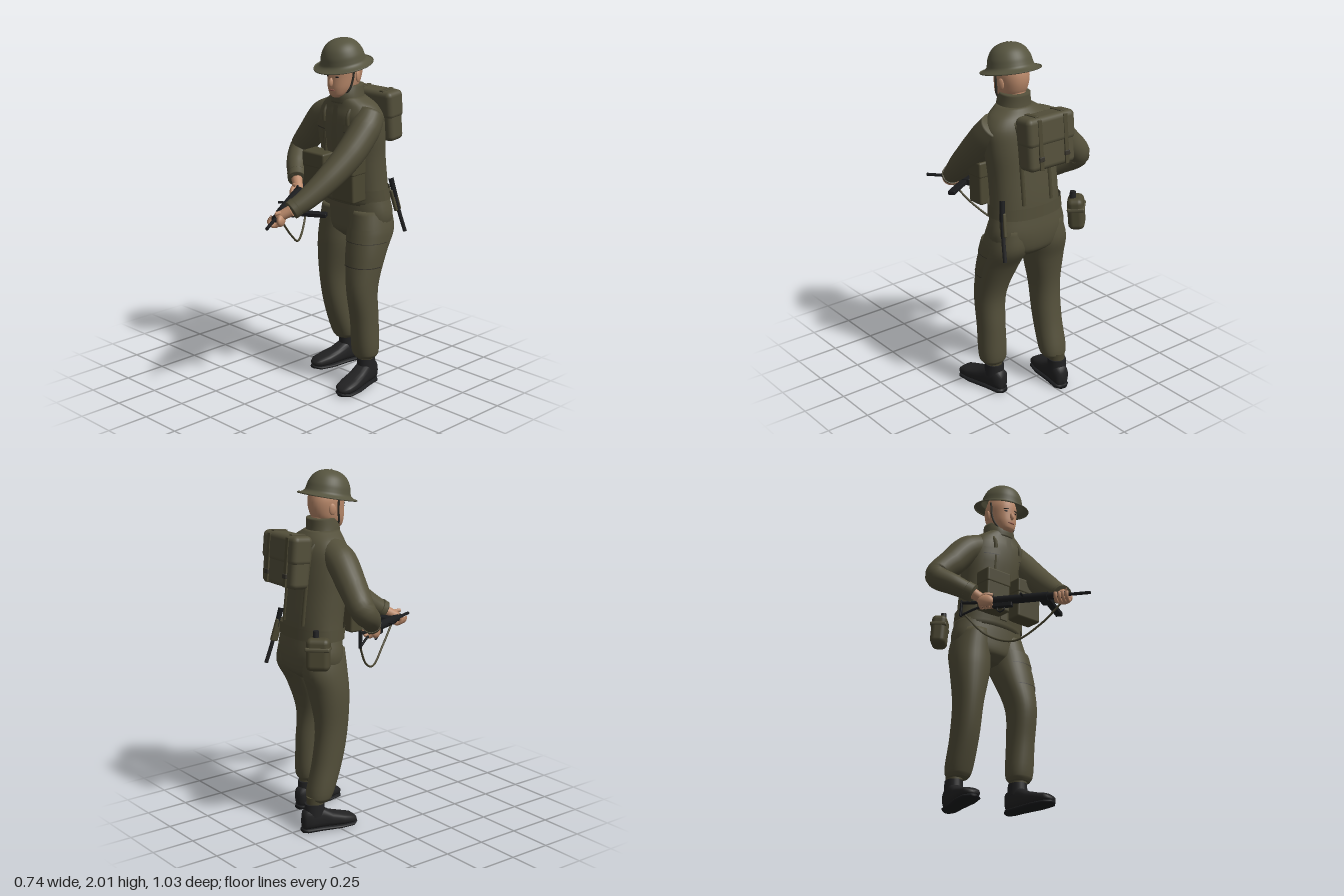
import * as THREE from 'three';
import { RoundedBoxGeometry } from 'three/addons/geometries/RoundedBoxGeometry.js';

const V = (x, y, z) => new THREE.Vector3(x, y, z);
const paint = (name, color, side = THREE.FrontSide) => {
  const m = new THREE.MeshStandardMaterial({ color, side });
  m.name = name;
  return m;
};

// Surface through a list of vertex rings; closed rings get end caps
function skin(rings, closed = true) {
  const n = rings[0].length, pos = [], idx = [];
  rings.forEach(r => r.forEach(v => pos.push(v.x, v.y, v.z)));
  const last = rings.length - 1;
  for (let i = 0; i < last; i++)
    for (let j = 0; j < (closed ? n : n - 1); j++) {
      const a = i * n + j, b = i * n + (j + 1) % n;
      idx.push(a, a + n, b, b, a + n, b + n);
    }
  if (closed) for (const i of [0, last]) {
    const c = rings[i].reduce((s, v) => s.add(v), V(0, 0, 0)).divideScalar(n);
    const k = pos.length / 3;
    pos.push(c.x, c.y, c.z);
    for (let j = 0; j < n; j++) {
      const a = i * n + j, b = i * n + (j + 1) % n;
      i ? idx.push(a, k, b) : idx.push(a, b, k);
    }
  }
  const g = new THREE.BufferGeometry();
  g.setAttribute('position', new THREE.Float32BufferAttribute(pos, 3));
  g.setIndex(idx);
  g.computeVertexNormals();
  return g;
}

// Horizontal ring of a section [y, cx, cz, rx, rz]
const pw = (c, e) => Math.sign(c) * Math.abs(c) ** e;
const ring = ([y, cx, cz, rx, rz], n = 32, a0 = 0, a1 = Math.PI * 2, open = 0) =>
  Array.from({ length: n + open }, (_, j) => {
    const a = a0 + (a1 - a0) * j / n;
    return V(cx + rx * pw(Math.cos(a), 0.9), y, cz + rz * pw(Math.sin(a), 0.9));
  });

// Smooth upright body from sections listed bottom to top
function loft(sec, steps = 5) {
  const mid = new THREE.CatmullRomCurve3(sec.map(s => V(s[1], s[0], s[2])));
  const rad = new THREE.CatmullRomCurve3(sec.map(s => V(s[3], s[0], s[4])));
  const rows = [], m = (sec.length - 1) * steps;
  for (let i = 0; i <= m; i++) {
    const c = mid.getPoint(i / m), r = rad.getPoint(i / m);
    rows.push(ring([c.y, c.x, c.z, r.x, r.z]));
  }
  return skin(rows);
}

// Section of a body at height y
function at(sec, y) {
  let i = 0;
  while (i < sec.length - 2 && sec[i + 1][0] < y) i++;
  const t = (y - sec[i][0]) / (sec[i + 1][0] - sec[i][0]);
  return sec[i].map((v, k) => v + (sec[i + 1][k] - v) * t);
}

// Cloth patch lying on a body between two heights and two angles
function patch(sec, y0, y1, a0, a1, d) {
  const rows = [];
  for (let i = 0; i <= 5; i++) {
    const [y, cx, cz, rx, rz] = at(sec, y0 + (y1 - y0) * i / 5);
    rows.push(ring([y, cx, cz, rx + d, rz + d], 32, a0, a1, 1));
  }
  return skin(rows, false);
}

// Sleeve along points [x, y, z, radius]
function sleeve(pts, steps = 7) {
  const mid = new THREE.CatmullRomCurve3(pts.map(p => V(p[0], p[1], p[2])));
  const rows = [], m = (pts.length - 1) * steps;
  for (let i = 0; i <= m; i++) {
    const t = i / m, k = Math.min(Math.floor(t * (pts.length - 1)), pts.length - 2);
    const r = THREE.MathUtils.lerp(pts[k][3], pts[k + 1][3], t * (pts.length - 1) - k);
    const c = mid.getPoint(t), T = mid.getTangent(t);
    const N = T.clone().cross(V(0, 1, 0)).normalize(), B = T.clone().cross(N);
    rows.push(Array.from({ length: 24 }, (_, j) => {
      const a = j / 24 * Math.PI * 2;
      return c.clone().addScaledVector(N, r * Math.cos(a)).addScaledVector(B, -r * Math.sin(a));
    }));
  }
  return skin(rows);
}

// Foot part along z from rows [z, half width, bottom, top]
const footPart = rows => skin(rows.map(([z, w, b, t]) => Array.from({ length: 24 }, (_, j) => {
  const a = j / 24 * Math.PI * 2;
  return V(w * pw(Math.cos(a), 0.75), (b + t) / 2 - (t - b) / 2 * pw(Math.sin(a), 0.75), z);
})));

const tube = (pts, r) =>
  new THREE.TubeGeometry(new THREE.CatmullRomCurve3(pts.map(p => V(...p))), 40, r, 8);

export function createModel() {
  const model = new THREE.Group();
  const cloth = paint('uniform cloth', 0x534f3a), cloth2 = paint('cloth patches', 0x514d38, THREE.DoubleSide);
  const steel = paint('helmet green', 0x56543f, THREE.DoubleSide), web = paint('webbing', 0x4b4732);
  const seam = paint('dark seams', 0x35322a, THREE.DoubleSide), flesh = paint('skin', 0xbb8a6b);
  const black = paint('black leather', 0x222223), gunmetal = paint('gunmetal', 0x1b1c1e);
  const lip = paint('lips', 0x9a6152);
  const add = (name, geo, mat, p = [0, 0, 0], r = [0, 0, 0], s = [1, 1, 1], parent = model) => {
    const m = new THREE.Mesh(geo, mat);
    m.name = name;
    m.position.set(...p); m.rotation.set(...r); m.scale.set(...s);
    parent.add(m);
    return m;
  };
  const box = (w, h, d, r = 0.012) => new RoundedBoxGeometry(w, h, d, 3, r);
  const ball = new THREE.SphereGeometry(1, 24, 16);
  const full = Math.PI * 2;

  // Jacket
  const torso = [[1.07, 0.11, -0.275, 0.213, 0.13], [1.2, 0.11, -0.262, 0.205, 0.135],
    [1.35, 0.11, -0.242, 0.205, 0.137], [1.48, 0.115, -0.225, 0.212, 0.137],
    [1.58, 0.12, -0.215, 0.205, 0.128], [1.64, 0.12, -0.208, 0.165, 0.11], [1.685, 0.118, -0.19, 0.095, 0.09]];
  add('jacket', loft(torso), cloth);
  add('collar', loft([[1.65, 0.118, -0.188, 0.098, 0.092], [1.7, 0.118, -0.184, 0.088, 0.09],
    [1.75, 0.118, -0.195, 0.08, 0.078]]), cloth);
  add('jacketFront', patch(torso, 1.18, 1.64, 1.5, 1.64, 0.007), cloth2);
  for (const [a, b] of [[0.8, 1.28], [1.86, 2.34]]) {
    add('chestPocket', patch(torso, 1.4, 1.53, a, b, 0.008), cloth2);
    add('pocketFlap', patch(torso, 1.5, 1.54, a - 0.03, b + 0.03, 0.012), cloth2);
    add('pocketSeam', patch(torso, 1.495, 1.5, a, b, 0.012), seam);
  }

  // Trousers
  const pelvis = [[0.86, 0.11, -0.275, 0.1, 0.07], [0.91, 0.11, -0.28, 0.2, 0.125],
    [1.0, 0.11, -0.283, 0.235, 0.135], [1.12, 0.11, -0.275, 0.213, 0.128]];
  add('trouserSeat', loft(pelvis), cloth);
  const leftLeg = [[0.175, 0.272, -0.19, 0.058, 0.055], [0.2, 0.272, -0.19, 0.075, 0.07], [0.4, 0.273, -0.178, 0.077, 0.082],
    [0.6, 0.267, -0.162, 0.084, 0.093], [0.8, 0.247, -0.215, 0.111, 0.115],
    [0.92, 0.238, -0.263, 0.113, 0.137], [1.04, 0.225, -0.275, 0.1, 0.12]];
  const rightLeg = [[0.175, -0.042, -0.345, 0.056, 0.055], [0.2, -0.042, -0.343, 0.073, 0.07], [0.4, -0.044, -0.285, 0.078, 0.086],
    [0.6, -0.044, -0.255, 0.083, 0.094], [0.8, -0.028, -0.262, 0.111, 0.114],
    [0.92, -0.018, -0.28, 0.113, 0.128], [1.04, -0.005, -0.275, 0.1, 0.12]];
  add('leftTrouserLeg', loft(leftLeg), cloth);
  add('rightTrouserLeg', loft(rightLeg), cloth);
  add('thighPocket', patch(leftLeg, 0.73, 0.94, -0.1, 2.1, 0.007), cloth2);
  add('thighPocketFlap', patch(leftLeg, 0.87, 0.945, -0.12, 2.12, 0.011), cloth2);
  for (const y of [0.73, 0.866]) add('thighPocketSeam', patch(leftLeg, y, y + 0.005, -0.1, 2.1, 0.01), seam);

  // Boots and gaiters
  for (const [name, x, z, turn] of [['leftBoot', 0.258, -0.275, 0.16], ['rightBoot', -0.03, -0.45, -0.2]]) {
    const boot = new THREE.Group();
    boot.name = name;
    boot.position.set(x, 0, z);
    boot.rotation.y = turn;
    model.add(boot);
    add('bootUpper', footPart([[0, 0.02, 0.02, 0.1], [0.012, 0.04, 0.015, 0.13], [0.05, 0.048, 0.015, 0.145],
      [0.11, 0.05, 0.015, 0.14], [0.17, 0.054, 0.015, 0.105], [0.24, 0.06, 0.015, 0.082],
      [0.3, 0.052, 0.015, 0.066], [0.322, 0.034, 0.02, 0.05], [0.33, 0.01, 0.025, 0.04]]), black, [0, 0, 0], [0, 0, 0], [1, 1, 1], boot);
    add('bootSole', footPart([[-0.003, 0.025, 0, 0.025], [0.02, 0.046, 0, 0.028], [0.1, 0.05, 0, 0.028],
      [0.22, 0.063, 0, 0.024], [0.3, 0.055, 0, 0.024], [0.333, 0.02, 0.006, 0.024]]), gunmetal, [0, 0, 0], [0, 0, 0], [1, 1, 1], boot);
    add('bootCuff', new THREE.CylinderGeometry(0.05, 0.052, 0.07, 24), black, [0, 0.13, 0.075], [0, 0, 0], [1, 1, 1.15], boot);
    add('gaiter', new THREE.CylinderGeometry(0.047, 0.045, 0.08, 24), web, [0, 0.165, 0.08], [0, 0, 0], [1, 1, 1.1], boot);
  }

  // Arms
  const arms = {
    right: [[0.02, 1.585, -0.21, 0.08], [-0.09, 1.535, -0.215, 0.088], [-0.2, 1.42, -0.225, 0.081],
      [-0.297, 1.305, -0.228, 0.07], [-0.245, 1.235, -0.14, 0.06], [-0.16, 1.172, -0.06, 0.047]],
    left: [[0.265, 1.595, -0.215, 0.08], [0.28, 1.52, -0.155, 0.087], [0.28, 1.4, -0.04, 0.083],
      [0.255, 1.28, 0.1, 0.072], [0.215, 1.18, 0.23, 0.058], [0.185, 1.13, 0.31, 0.047]]
  };
  const grips = { right: [-0.095, 1.12, -0.015], left: [0.135, 1.09, 0.37] };
  for (const side of ['right', 'left']) {
    const p = arms[side], e = p[5], d = p[4];
    add(side + 'Sleeve', sleeve(p), cloth);
    const c = [0, 1, 2].map(k => e[k] + (d[k] - e[k]) * 0.35);
    add(side + 'Cuff', sleeve([[...c, 0.056], [...e.slice(0, 3), 0.052]]), cloth);
    add(side + 'Wrist', sleeve([[...e.slice(0, 3), 0.032], [...grips[side], 0.026]]), flesh);
  }

  // Submachine gun, local z along the barrel
  const gun = new THREE.Group();
  gun.name = 'gun';
  gun.position.set(-0.1, 1.125, -0.02);
  gun.lookAt(0.21, 1.075, 0.51);
  model.add(gun);
  const gunPart = (name, geo, p, r, mat = gunmetal) => add(name, geo, mat, p, r, [1, 1, 1], gun);
  const bar = (name, r, z0, z1) => gunPart(name, new THREE.CylinderGeometry(r, r, z1 - z0, 16), [0, 0, (z0 + z1) / 2], [Math.PI / 2, 0, 0]);
  bar('receiver', 0.025, 0, 0.37);
  bar('barrelShroud', 0.02, 0.37, 0.47);
  bar('barrel', 0.009, 0.47, 0.616);
  gunPart('magazineHousing', box(0.07, 0.04, 0.065, 0.006), [0.045, 0, 0.345]);
  gunPart('magazine', box(0.2, 0.024, 0.04, 0.004), [0.155, 0, 0.35]);
  gunPart('cockingHandle', new THREE.CylinderGeometry(0.007, 0.007, 0.04, 10), [-0.035, 0.005, 0.226], [0, 0, Math.PI / 2]);
  gunPart('triggerHousing', box(0.03, 0.03, 0.12, 0.006), [0, -0.03, 0.1]);
  gunPart('triggerGuard', new THREE.TorusGeometry(0.022, 0.004, 8, 20), [0, -0.048, 0.09], [0, Math.PI / 2, 0]);
  gunPart('rearSight', box(0.01, 0.02, 0.02, 0.003), [0, 0.03, 0.03]);
  gunPart('stock', tube([[0, 0, 0.02], [0, 0, -0.06], [0, 0.005, -0.15]], 0.01));
  gunPart('stockBrace', tube([[0, -0.03, 0.05], [0, -0.035, -0.05], [0, -0.07, -0.145]], 0.007));
  gunPart('buttPlate', box(0.02, 0.1, 0.012, 0.004), [0, -0.03, -0.152]);

  // Hands wrapped round the gun
  for (const [name, z, dir] of [['rightHand', 0.005, -1], ['leftHand', 0.455, 1]]) {
    add(name + 'Palm', ball, flesh, [dir * 0.03, -0.008, z], [0, 0, 0], [0.022, 0.036, 0.048], gun);
    for (let i = 0; i < 4; i++)
      add(name + 'Finger', new THREE.TorusGeometry(0.03, 0.0105, 8, 18, 3.7), flesh, [0, -0.004, z - 0.033 + i * 0.022],
        [0, dir > 0 ? 0 : Math.PI, -3.4], [1, 1, 1], gun);
    add(name + 'Thumb', tube([[dir * 0.035, 0.015, z - 0.03], [dir * 0.028, 0.032, z], [dir * 0.004, 0.036, z + 0.03]], 0.011),
      flesh, [0, 0, 0], [0, 0, 0], [1, 1, 1], gun);
  }
  add('sling', tube([[0.15, 1.06, 0.34], [0.09, 0.95, 0.22], [0.01, 0.875, 0.09], [-0.08, 0.93, -0.04], [-0.165, 1.08, -0.15]], 0.006), web);

  // Head
  add('neck', new THREE.CylinderGeometry(0.058, 0.062, 0.16, 24), flesh, [0.117, 1.73, -0.19]);
  add('head', loft([[1.685, 0.117, -0.105, 0.026, 0.028], [1.7, 0.117, -0.116, 0.047, 0.05], [1.74, 0.117, -0.147, 0.07, 0.089],
    [1.79, 0.117, -0.16, 0.08, 0.102], [1.85, 0.117, -0.163, 0.084, 0.104], [1.92, 0.117, -0.163, 0.065, 0.085]]), flesh);
  add('nose', ball, flesh, [0.117, 1.77, -0.056], [-0.2, 0, 0], [0.012, 0.026, 0.016]);
  add('mouth', ball, lip, [0.117, 1.727, -0.062], [0, 0, 0], [0.023, 0.006, 0.006]);
  for (const s of [-1, 1]) {
    add('eye', ball, gunmetal, [0.117 + s * 0.033, 1.802, -0.067], [0, s * 0.3, 0], [0.012, 0.005, 0.004]);
    add('eyebrow', ball, seam, [0.117 + s * 0.033, 1.818, -0.066], [0, s * 0.3, s * -0.1], [0.018, 0.004, 0.005]);
    add('ear', ball, flesh, [0.117 + s * 0.084, 1.8, -0.18], [0, s * 0.3, 0], [0.009, 0.032, 0.02]);
  }
  add('chinStrap', tube([[0.026, 1.87, -0.14], [0.032, 1.79, -0.14], [0.05, 1.725, -0.125], [0.117, 1.682, -0.105],
    [0.184, 1.725, -0.125], [0.202, 1.79, -0.14], [0.208, 1.87, -0.14]], 0.006), seam);

  // Helmet
  const helmet = new THREE.Group();
  helmet.name = 'helmet';
  helmet.position.set(0.115, 1.868, -0.152);
  helmet.rotation.x = 0.2;
  model.add(helmet);
  const prof = [[0.16, -0.01], [0.138, 0], [0.125, 0.012], [0.12, 0.03], [0.113, 0.06], [0.095, 0.095], [0.068, 0.12], [0.035, 0.133], [0, 0.137]];
  add('helmetShell', new THREE.LatheGeometry(new THREE.SplineCurve(prof.map(p => new THREE.Vector2(...p))).getPoints(32), 48),
    steel, [0, 0, 0], [0, 0, 0], [1, 1, 1.04], helmet);
  add('helmetRim', new THREE.TorusGeometry(0.16, 0.004, 8, 48), steel, [0, -0.01, 0], [Math.PI / 2, 0, 0], [1, 1.04, 1], helmet);
  add('helmetRivet', ball, steel, [0, 0.137, 0], [0, 0, 0], [0.006, 0.004, 0.006], helmet);

  // Webbing: belt, shoulder straps, front pouches
  add('belt', patch(torso, 1.1, 1.165, 0, full, 0.012), cloth2);
  add('beltBuckle', box(0.05, 0.05, 0.008, 0.003), web, [0.11, 1.132, -0.125]);
  const surf = (x, y, s) => {
    const [, cx, cz, rx, rz] = at(torso, y);
    return [x, y, cz + s * (rz * Math.sqrt(Math.max(0, 1 - ((x - cx) / rx) ** 2)) + 0.003)];
  };
  for (const s of [-1, 1]) {
    const x = 0.117 + s * 0.09, ys = [1.18, 1.3, 1.42, 1.52, 1.6];
    add('shoulderStrap', tube([...ys.map(y => surf(x, y, 1)), [x, 1.668, -0.2], ...ys.reverse().map(y => surf(x, y, -1))], 0.012), web);
    const px = 0.115 + s * 0.113;
    add('ammoPouch', box(0.165, 0.24, 0.105), web, [px, 1.24, -0.085], [0.04, 0, 0]);
    add('ammoPouchFlap', box(0.171, 0.09, 0.112), web, [px, 1.32, -0.082], [0.04, 0, 0]);
  }

  // Backpack
  const pack = new THREE.Group();
  pack.name = 'backpack';
  pack.position.set(0.105, 1.545, -0.438);
  pack.rotation.x = 0.1;
  model.add(pack);
  const packPart = (name, geo, mat, p) => add(name, geo, mat, p, [0, 0, 0], [1, 1, 1], pack);
  packPart('packBody', box(0.305, 0.285, 0.115, 0.03), cloth, [0, 0, 0]);
  packPart('packFlap', box(0.315, 0.16, 0.125, 0.03), cloth, [0, 0.066, -0.002]);
  for (const s of [-1, 1]) {
    packPart('packStrap', box(0.026, 0.27, 0.01, 0.003), web, [s * 0.085, 0, -0.063]);
    packPart('packBuckle', box(0.034, 0.026, 0.012, 0.004), seam, [s * 0.085, -0.075, -0.066]);
    packPart('packTopStrap', box(0.026, 0.01, 0.09, 0.003), web, [s * 0.085, 0.146, 0]);
  }

  // Water bottle on the right hip
  const bottle = new THREE.Group();
  bottle.name = 'waterBottle';
  bottle.position.set(-0.14, 1.062, -0.41);
  bottle.rotation.set(0, Math.PI / 4, 0);
  model.add(bottle);
  add('bottleCover', box(0.13, 0.18, 0.09, 0.03), web, [0, 0, 0], [0.08, 0, 0], [1, 1, 1], bottle);
  add('bottleBand', box(0.136, 0.022, 0.096, 0.008), cloth, [0, 0.03, 0], [0.08, 0, 0], [1, 1, 1], bottle);
  add('bottleCap', new THREE.CylinderGeometry(0.016, 0.018, 0.04, 16), black, [0.015, 0.105, 0.02], [0, 0, 0], [1, 1, 1], bottle);

  // Bayonet on the left hip
  add('bayonetScabbard', tube([[0.33, 1.12, -0.355], [0.345, 1.0, -0.385], [0.358, 0.9, -0.415]], 0.011), black);
  add('bayonetHandle', tube([[0.315, 1.22, -0.335], [0.322, 1.17, -0.345], [0.33, 1.11, -0.357]], 0.015), gunmetal);
  add('bayonetFrog', box(0.02, 0.13, 0.045, 0.006), web, [0.328, 1.09, -0.36], [0.25, 0, 0.12]);
  return model;
}
